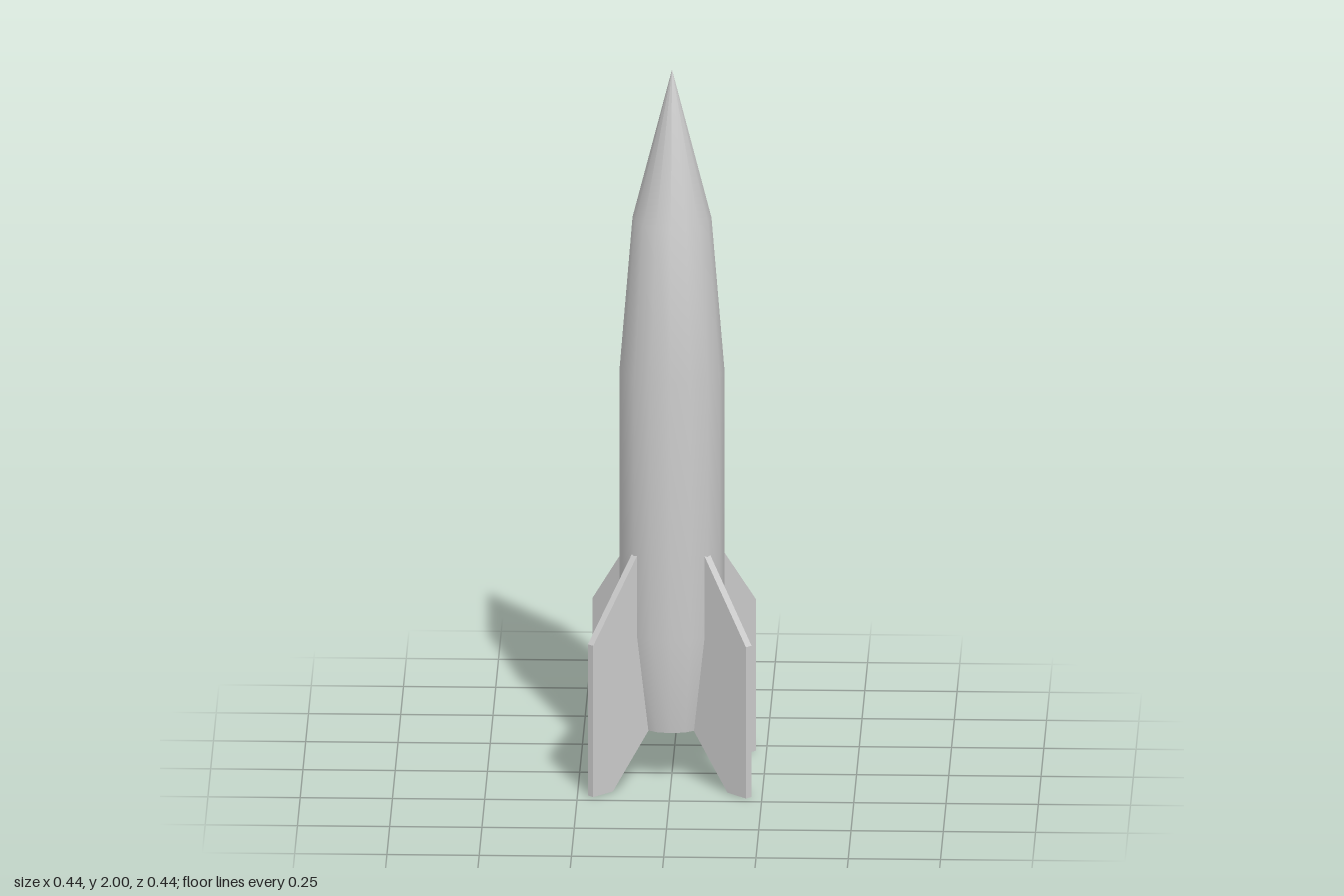
import * as THREE from 'three';

const SIDES = 16;

export function createModel() {
  const model = new THREE.Group();
  const material = new THREE.MeshStandardMaterial({ color: 0xcccccc });
  const add = (name, geometry, parent = model) => {
    const mesh = new THREE.Mesh(geometry, material);
    mesh.name = name;
    parent.add(mesh);
    return mesh;
  };

  // Hull: tapered tail, straight barrel, shoulder and pointed nose
  const profile = [
    [0.1, 0.145], [0.142, 0.42], [0.142, 1.15], [0.107, 1.58], [0, 2],
  ].map(([r, y]) => new THREE.Vector2(r, y));
  add('hull', new THREE.LatheGeometry(profile, SIDES));

  // Flat tail disc closing the hull
  const tail = new THREE.CircleGeometry(0.1, SIDES);
  tail.rotateX(Math.PI / 2);
  add('tailPlate', tail).position.y = 0.145;

  // Fin outline in radius and height; the root is sunk just into the hull
  const outline = new THREE.Shape([
    [0.09, 0.15], [0.097, 0.145], [0.23, 0], [0.303, 0],
    [0.303, 0.43], [0.14, 0.65], [0.13, 0.65],
  ].map(([r, y]) => new THREE.Vector2(r, y)));
  const thickness = 0.021;
  const finGeometry = new THREE.ExtrudeGeometry(outline, { depth: thickness, bevelEnabled: false });
  finGeometry.translate(0, 0, -thickness / 2);

  // Four fins on the diagonals
  const fins = new THREE.Group();
  fins.name = 'fins';
  model.add(fins);
  for (let i = 0; i < 4; i++) {
    add('fin', finGeometry, fins).rotation.y = Math.PI / 4 + (i * Math.PI) / 2;
  }

  return model;
}
